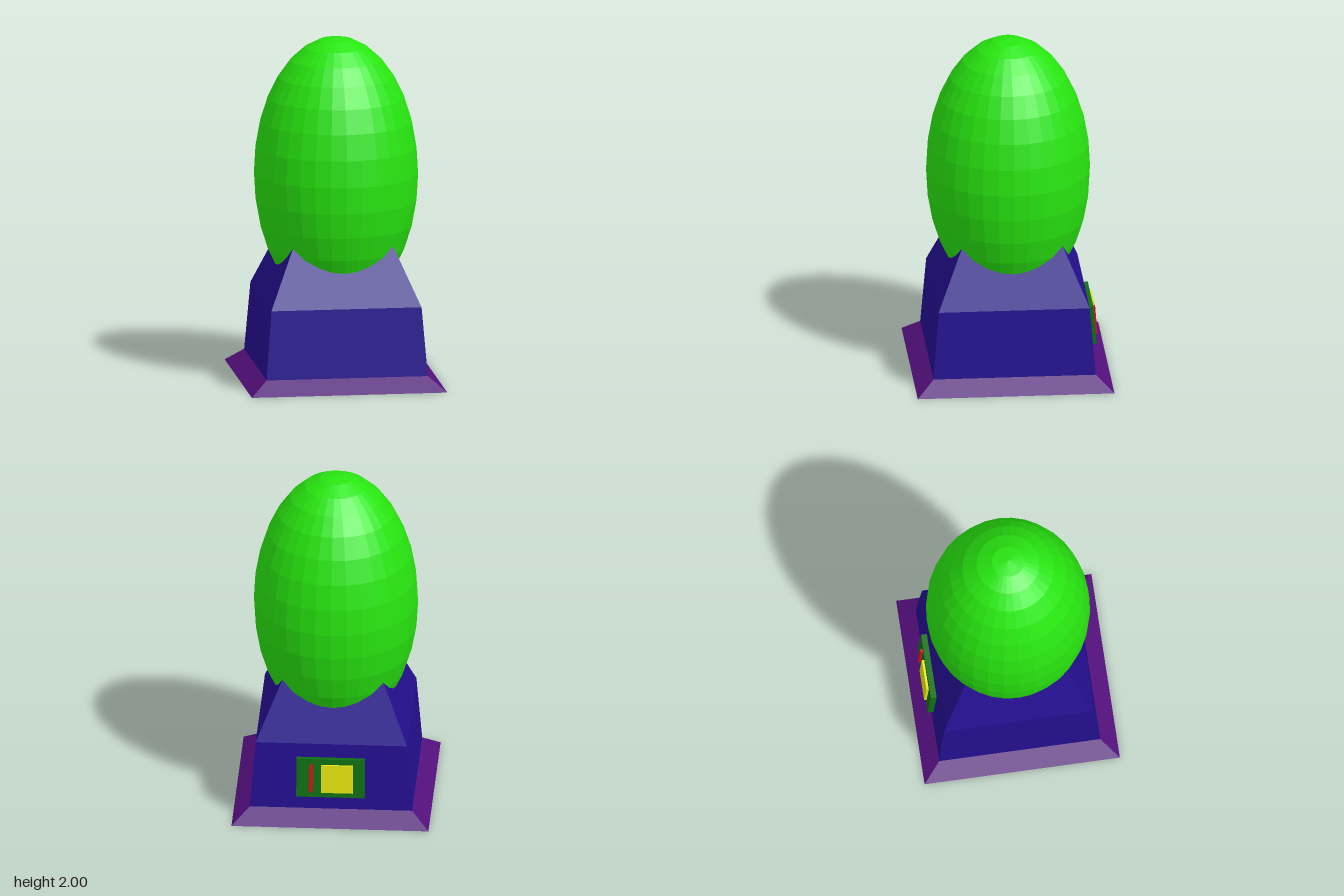
import * as THREE from 'three';

const mat = (color) => new THREE.MeshStandardMaterial({ color, flatShading: true });

function addMesh(parent, name, geometry, material, x = 0, y = 0, z = 0) {
  const mesh = new THREE.Mesh(geometry, material);
  mesh.name = name;
  mesh.position.set(x, y, z);
  parent.add(mesh);
  return mesh;
}

// Square frustum between two heights, given the half widths at each end
function frustum(y0, half0, y1, half1) {
  const g = new THREE.CylinderGeometry(half1 * Math.SQRT2, half0 * Math.SQRT2, y1 - y0, 4);
  g.rotateY(Math.PI / 4);
  g.translate(0, (y0 + y1) / 2, 0);
  return g;
}

export function createModel() {
  const model = new THREE.Group();
  model.name = 'eggOnPedestal';

  const blue = mat(0x240f90);

  // Flared foot and two-stage pedestal; the top stage ends inside the egg
  addMesh(model, 'foot', frustum(0, 0.57, 0.08, 0.47), mat(0x530f7c));
  addMesh(model, 'pedestalLower', frustum(0.08, 0.47, 0.48, 0.438), blue);
  addMesh(model, 'pedestalUpper', frustum(0.48, 0.438, 0.85, 0.277), blue);

  // Faceted egg
  const egg = new THREE.SphereGeometry(1, 32, 16);
  egg.scale(0.475, 0.8, 0.475);
  addMesh(model, 'egg', egg, mat(0x28e610), 0, 1.2, 0);

  // Control panel leaning with the back wall
  const panel = new THREE.Group();
  panel.name = 'backPanel';
  panel.position.set(0, 0.28, -0.454);
  panel.rotation.x = Math.atan2(0.032, 0.4);
  model.add(panel);
  addMesh(panel, 'panelPlate', new THREE.BoxGeometry(0.395, 0.235, 0.04), mat(0x0e7014), 0.002, 0, -0.014);
  addMesh(panel, 'screen', new THREE.BoxGeometry(0.185, 0.17, 0.03), mat(0xe6e610), -0.037, 0, -0.033);
  addMesh(panel, 'slot', new THREE.BoxGeometry(0.02, 0.17, 0.03), mat(0xd81018), 0.114, 0, -0.033);

  return model;
}
